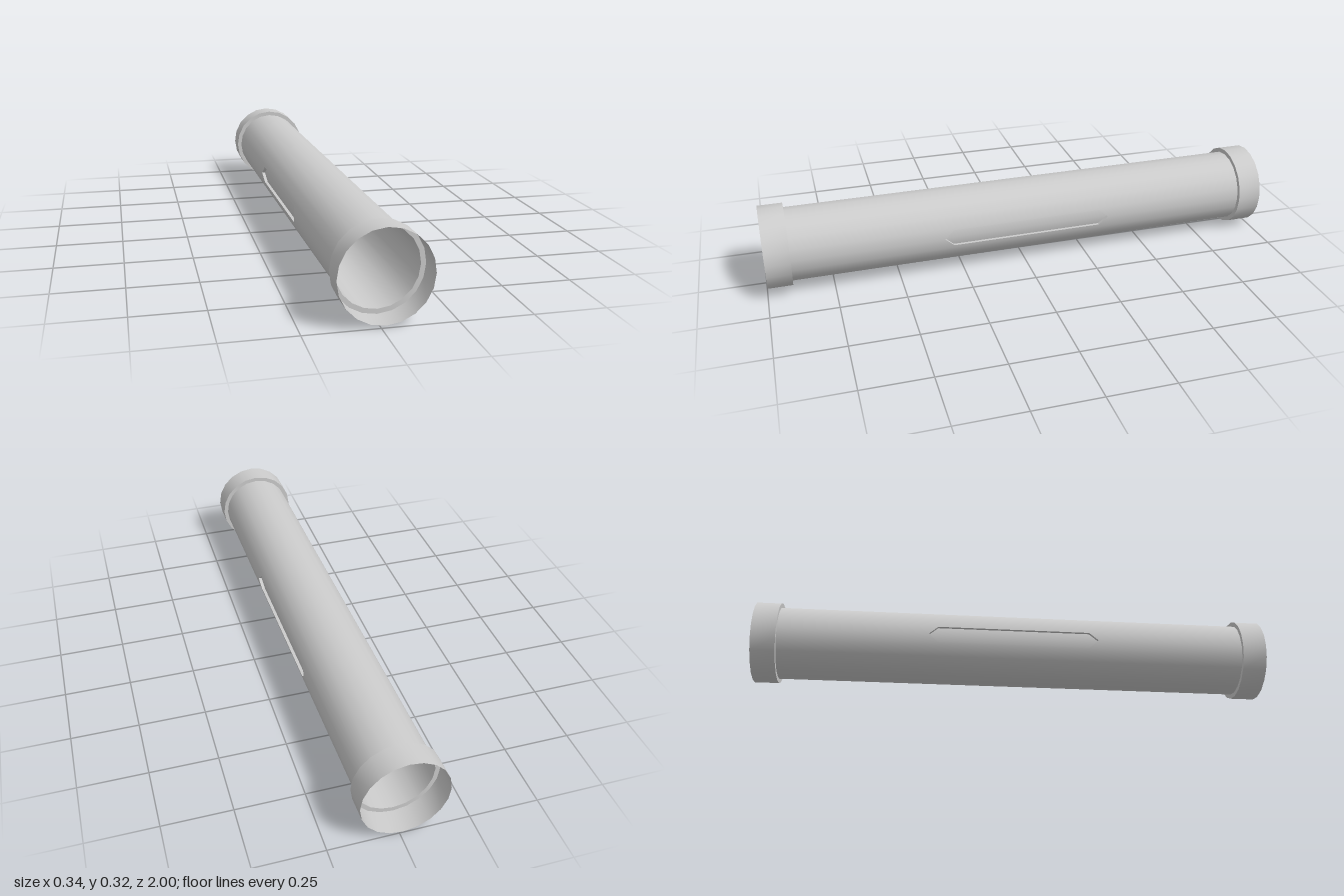
import * as THREE from 'three';
import { mergeGeometries, toCreasedNormals } from 'three/addons/utils/BufferGeometryUtils.js';

const SIDES = 20, R = 0.14, COLLAR_R = 0.157, COLLAR_Z = 0.905, HALF = 0.998;
const INSET = 0.012; // depth of the side recesses
const SLOT_U = 0.75, SLOT_Z = 0.295, SLOT_TIP = 0.33;

const material = new THREE.MeshStandardMaterial({ color: 0xcccccc, side: THREE.DoubleSide });

// Point on side i of the tube: u runs 0..1 across the side, inset moves it towards the axis
function onSide(i, u, z, inset = 0) {
  const a = (i / SIDES) * Math.PI * 2, b = ((i + 1) / SIDES) * Math.PI * 2;
  const x = THREE.MathUtils.lerp(Math.cos(a), Math.cos(b), u) * R;
  const y = THREE.MathUtils.lerp(Math.sin(a), Math.sin(b), u) * R;
  return new THREE.Vector3(x - Math.sign(x) * inset, y, z);
}

// Wrap a flat outline (u, z) onto one side, with smooth radial normals
function wrap(i, outline, inset = 0) {
  const g = new THREE.ShapeGeometry(new THREE.Shape(outline.map(([u, z]) => new THREE.Vector2(u, z))));
  const p = g.attributes.position, n = g.attributes.normal;
  for (let k = 0; k < p.count; k++) {
    const v = onSide(i, p.getX(k), p.getY(k), inset);
    p.setXYZ(k, v.x, v.y, v.z);
    const r = Math.hypot(v.x, v.y);
    n.setXYZ(k, v.x / r, v.y / r, 0);
  }
  return g;
}

// Walls between the tube surface and the recessed panel
function recessWall(i, path) {
  const pos = [];
  for (let k = 0; k + 1 < path.length; k++) {
    const [a, b] = [path[k], path[k + 1]];
    const oa = onSide(i, ...a), ob = onSide(i, ...b);
    const ia = onSide(i, ...a, INSET), ib = onSide(i, ...b, INSET);
    for (const v of [oa, ob, ib, oa, ib, ia]) pos.push(v.x, v.y, v.z);
  }
  const g = new THREE.BufferGeometry();
  g.setAttribute('position', new THREE.Float32BufferAttribute(pos, 3));
  g.computeVertexNormals();
  return g;
}

function addMesh(parent, geometry, name) {
  const mesh = new THREE.Mesh(geometry, material);
  mesh.name = name;
  parent.add(mesh);
  return mesh;
}

export function createModel() {
  const model = new THREE.Group();
  model.name = 'pipe';
  const pipe = new THREE.Group();
  pipe.name = 'pipeBody';
  model.add(pipe);

  // Tube sides; the pairs meeting at +x and -x carry half a recess each
  const tube = [], panels = [], walls = [];
  const half = SIDES / 2;
  const slot = [[0, SLOT_TIP], [SLOT_U, SLOT_Z], [SLOT_U, -SLOT_Z], [0, -SLOT_TIP]];
  for (let i = 0; i < SIDES; i++) {
    const starts = i % half === 0, ends = i % half === half - 1;
    const flip = ([u, z]) => (ends ? [1 - u, z] : [u, z]);
    const strip = [[0, -COLLAR_Z], [1, -COLLAR_Z], [1, COLLAR_Z], [0, COLLAR_Z]];
    if (starts || ends) {
      const path = slot.map(flip);
      tube.push(wrap(i, [...strip.map(flip), ...path]));
      panels.push(wrap(i, path, INSET));
      walls.push(recessWall(i, path));
    } else {
      tube.push(wrap(i, strip));
    }
  }
  addMesh(pipe, mergeGeometries(tube), 'tube');
  addMesh(pipe, mergeGeometries(panels), 'recessPanels');
  addMesh(pipe, mergeGeometries(walls), 'recessWalls');

  // Open collars, stepped out from the tube at both ends
  const profile = [[R, COLLAR_Z], [COLLAR_R, COLLAR_Z], [COLLAR_R, HALF]]
    .map(([r, y]) => new THREE.Vector2(r, y));
  const collar = toCreasedNormals(new THREE.LatheGeometry(profile, SIDES), 0.6);
  collar.rotateX(Math.PI / 2);
  addMesh(pipe, collar, 'frontCollar');
  addMesh(pipe, collar, 'backCollar').rotation.y = Math.PI;

  // The pipe lies very slightly askew
  pipe.rotation.set(-0.0035, 0.015, 0);
  pipe.position.y = 0.163;
  return model;
}
